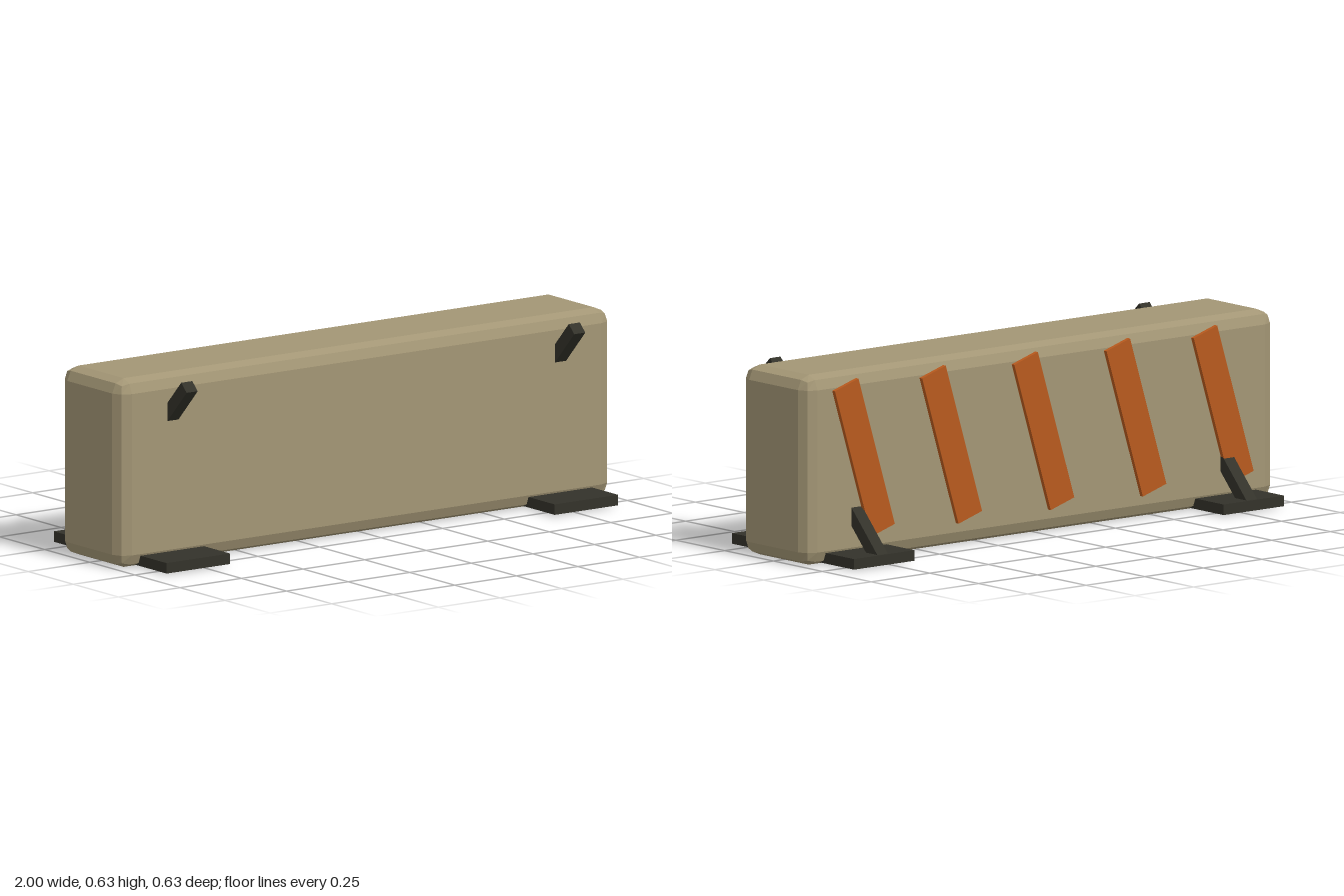
import * as THREE from 'three';
import { RoundedBoxGeometry } from 'three/addons/geometries/RoundedBoxGeometry.js';

export function createModel() {
  const group = new THREE.Group();
  const tan = new THREE.MeshStandardMaterial({ color: 0xa39675 });
  tan.name = 'tan concrete';
  const dark = new THREE.MeshStandardMaterial({ color: 0x33322a });
  dark.name = 'dark metal';
  const rust = new THREE.MeshStandardMaterial({ color: 0xb85a1e });
  rust.name = 'rust orange';

  const add = (name, geometry, material, x, y, z) => {
    const mesh = new THREE.Mesh(geometry, material);
    mesh.name = name;
    mesh.position.set(x, y, z);
    group.add(mesh);
    return mesh;
  };

  // Barrier block with a two-facet bevel on every edge
  const block = new RoundedBoxGeometry(2, 0.632, 0.341, 1, 0.046);
  block.computeVertexNormals(); // faceted bevels
  add('barrierBlock', block, tan, 0, 0.316, 0);

  // Foot plates and the diagonal braces that run through the block
  const foot = new THREE.BoxGeometry(0.258, 0.035, 0.626);
  const top = new THREE.Vector2(0.262, 0.605); // (z, y)
  const bottom = new THREE.Vector2(-0.288, 0.025);
  const run = top.clone().sub(bottom);
  const mid = top.clone().add(bottom).multiplyScalar(0.5);
  const brace = new THREE.BoxGeometry(0.045, run.length(), 0.042);
  for (const [side, s] of [['left', 1], ['right', -1]]) {
    add(side + 'Foot', foot, dark, s * 0.788, 0.0225, 0);
    add(side + 'Brace', brace, dark, s * 0.787, mid.y, mid.x)
      .rotation.x = Math.atan2(run.x, run.y);
  }

  // Slanted warning slats on the back
  const slat = new THREE.BoxGeometry(0.105, 0.525, 0.014);
  [-0.765, -0.393, 0, 0.393, 0.765].forEach((x, i) => {
    add('warningSlat' + (i + 1), slat, rust, x, 0.343, -0.179).rotation.z = -0.3;
  });

  return group;
}
